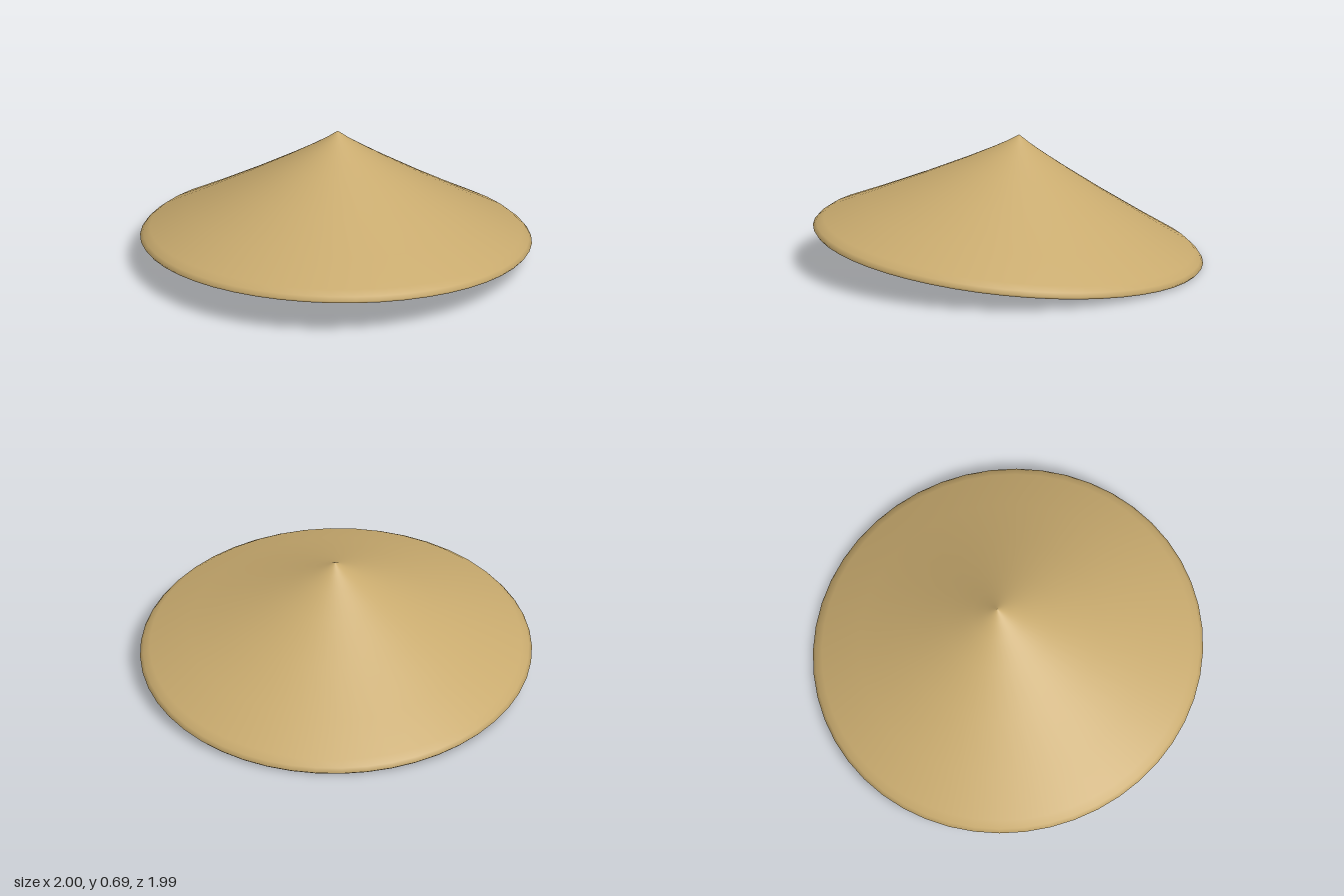
import * as THREE from 'three';

export function createModel() {
  const model = new THREE.Group();
  const straw = new THREE.MeshStandardMaterial({ color: 0xc8aa6e, side: THREE.DoubleSide });

  // Whole hat leans back so the front brim is raised
  const hat = new THREE.Group();
  hat.name = 'conicalHat';
  hat.rotation.x = -0.1;
  hat.position.y = 0.1;
  model.add(hat);

  // Thin shell: turned-in rim, slightly hollow slope, pointed peak
  const profile = [
    [0.99, 0], [1, 0.012], [0.985, 0.032], [0.95, 0.06], [0.75, 0.162], [0.5, 0.295],
    [0.28, 0.418], [0.14, 0.5], [0.06, 0.55], [0.025, 0.575], [0, 0.592],
  ].map(([r, y]) => new THREE.Vector2(r, y));
  const shell = new THREE.Mesh(new THREE.LatheGeometry(profile, 48), straw);
  shell.name = 'shell';
  hat.add(shell);

  // Oval head band held inside the shell, longer from front to back
  const band = new THREE.Mesh(new THREE.CylinderGeometry(1, 1, 0.105, 40, 1, true), straw);
  band.name = 'headBand';
  band.scale.set(0.325, 1, 0.465);
  band.position.set(0, 0.172, -0.02);
  hat.add(band);

  return model;
}
